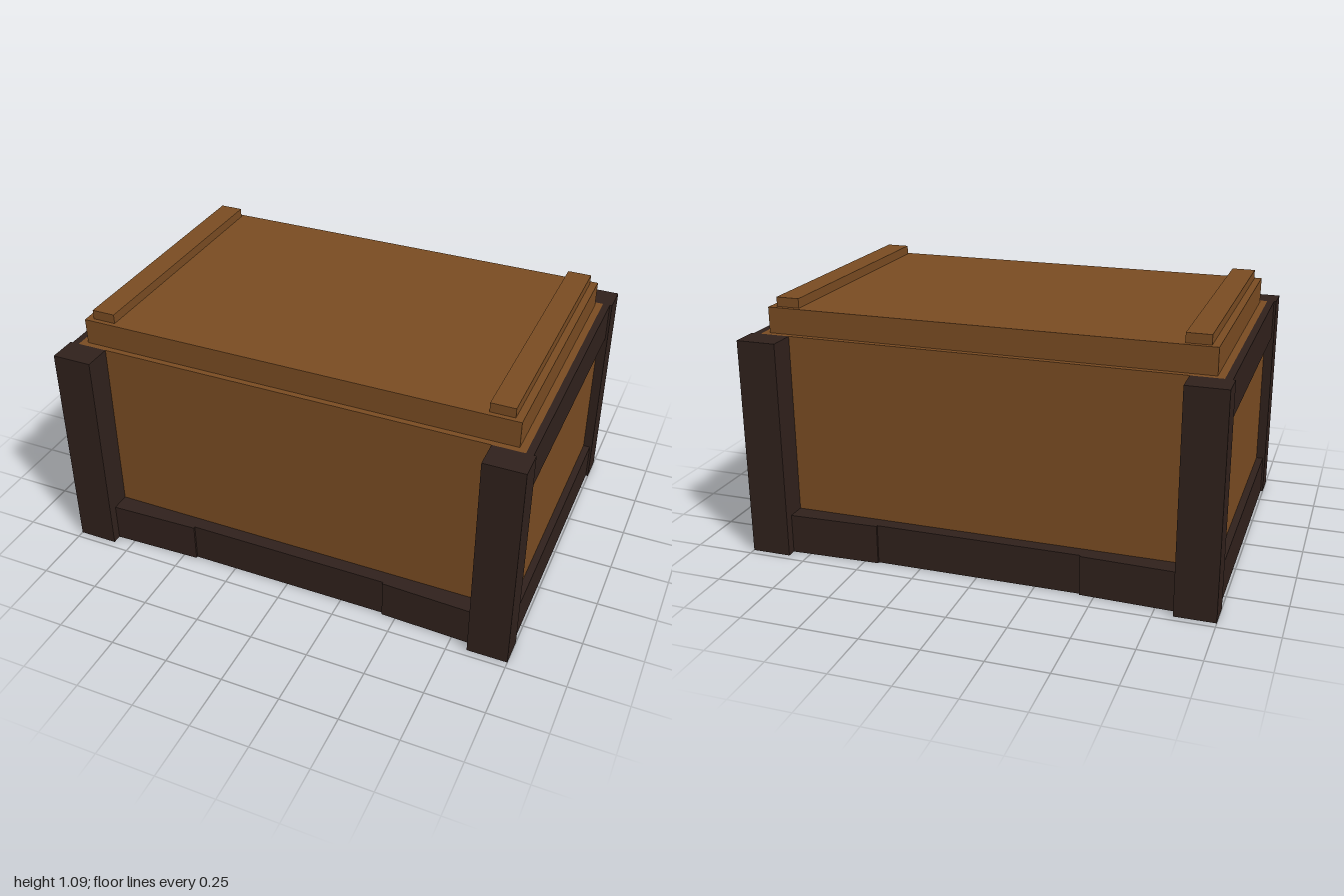
import * as THREE from 'three';

export function createModel() {
  const crate = new THREE.Group();
  crate.name = 'crate';
  const wood = new THREE.MeshStandardMaterial({ color: 0x7a4c22 });
  const darkWood = new THREE.MeshStandardMaterial({ color: 0x30211c });

  // Box given by its minimum and maximum corners
  function box(name, material, [x0, y0, z0], [x1, y1, z1]) {
    const mesh = new THREE.Mesh(new THREE.BoxGeometry(x1 - x0, y1 - y0, z1 - z0), material);
    mesh.position.set((x0 + x1) / 2, (y0 + y1) / 2, (z0 + z1) / 2);
    mesh.name = name;
    crate.add(mesh);
  }

  // Body and lid
  box('body', wood, [-0.96, 0, -0.6], [0.96, 0.94, 0.6]);
  box('lid', wood, [-0.93, 0.94, -0.575], [0.93, 1.05, 0.575]);

  // Battens across the lid
  box('leftLidBatten', wood, [0.8, 1.05, -0.555], [0.9, 1.09, 0.555]);
  box('rightLidBatten', wood, [-0.9, 1.05, -0.555], [-0.8, 1.09, 0.555]);

  // Plan of the wedge-shaped end piece of a bottom rail
  const wedge = new THREE.Shape([
    new THREE.Vector2(0.44, 0.6),
    new THREE.Vector2(0.83, 0.6),
    new THREE.Vector2(0.83, 0.68),
    new THREE.Vector2(0.44, 0.667),
  ]);
  const wedgeGeometry = new THREE.ExtrudeGeometry(wedge, { depth: 0.17, bevelEnabled: false });
  wedgeGeometry.rotateX(Math.PI / 2).translate(0, 0.17, 0);

  for (const [face, angle] of [['front', 0], ['back', Math.PI]]) {
    const side = new THREE.Group();
    side.name = face + 'Frame';
    side.rotation.y = angle;

    // Corner posts
    for (const s of [-1, 1]) {
      const post = new THREE.Mesh(new THREE.BoxGeometry(0.17, 0.94, 0.12), darkWood);
      post.position.set(s * 0.915, 0.47, 0.66);
      post.name = 'cornerPost';
      side.add(post);

      // Rail ends, the second mirrored
      const end = new THREE.Mesh(wedgeGeometry, darkWood);
      end.scale.x = s;
      end.name = 'bottomRailEnd';
      side.add(end);
    }

    // Middle of the bottom rail
    const rail = new THREE.Mesh(new THREE.BoxGeometry(0.88, 0.17, 0.058), darkWood);
    rail.position.set(0, 0.085, 0.629);
    rail.name = 'bottomRailMiddle';
    side.add(rail);
    crate.add(side);
  }

  // Upper and lower rails on both ends
  for (const [y0, y1, level] of [[0, 0.17, 'Lower'], [0.77, 0.94, 'Upper']]) {
    box('left' + level + 'Rail', darkWood, [0.96, y0, -0.6], [0.99, y1, 0.6]);
    box('right' + level + 'Rail', darkWood, [-0.99, y0, -0.6], [-0.96, y1, 0.6]);
  }

  return crate;
}
